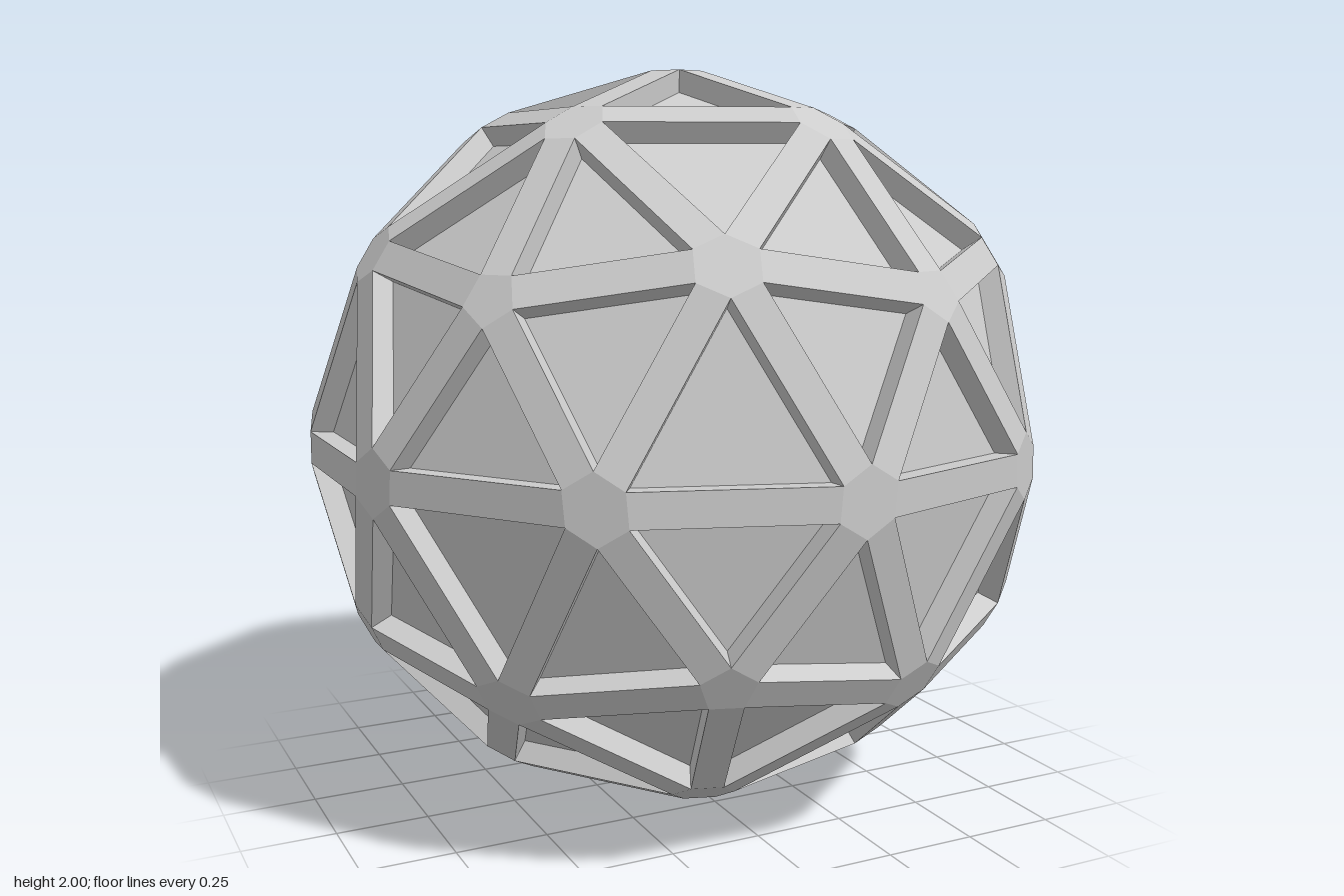
import * as THREE from 'three';

const HALF_WIDTH = 0.0425; // half the width of a strut
const RECESS = 0.94;       // how far panels sink toward the centre

// Icosahedron standing on a vertex, each face split into four, on a unit sphere
function geodesic() {
  const points = [], lookup = new Map(), faces = [];
  const add = (v) => {
    const key = v.toArray().map((n) => Math.round(n * 1000)).join();
    if (!lookup.has(key)) {
      lookup.set(key, points.length);
      points.push(v);
    }
    return lookup.get(key);
  };
  const ring = (deg, y) => {
    const a = THREE.MathUtils.degToRad(deg), r = 2 / Math.sqrt(5);
    return new THREE.Vector3(r * Math.cos(a), y, -r * Math.sin(a));
  };
  const mid = (a, b) => a.clone().add(b).normalize();
  const split = (a, b, c) => {
    const ab = mid(a, b), bc = mid(b, c), ca = mid(c, a);
    for (const f of [[a, ab, ca], [ab, b, bc], [ca, bc, c], [ab, bc, ca]]) faces.push(f.map(add));
  };
  const top = new THREE.Vector3(0, 1, 0), bottom = new THREE.Vector3(0, -1, 0);
  const h = 1 / Math.sqrt(5);
  for (let k = 0; k < 5; k++) {
    const u0 = ring(72 * k, h), u1 = ring(72 * k + 72, h);
    const l0 = ring(72 * k + 36, -h), l1 = ring(72 * k + 108, -h);
    split(top, u0, u1);
    split(u0, l0, u1);
    split(u1, l0, l1);
    split(bottom, l1, l0);
  }
  return { points, faces };
}

// Opening corner at v: where the borders of the two struts meet on the hub plane
function corner(v, p, q) {
  const tangent = (t) => t.clone().addScaledVector(v, -t.dot(v)).normalize();
  const d1 = tangent(p), d2 = tangent(q);
  return d1.clone().add(d2).multiplyScalar(HALF_WIDTH / Math.sin(d1.angleTo(d2))).add(v);
}

export function createModel() {
  const { points, faces } = geodesic();
  const parts = { hubs: [], struts: [], openingWalls: [], panels: [] };
  const tri = (part, ...vs) => vs.forEach((v) => parts[part].push(v.x, v.y, v.z));
  const quad = (part, a, b, c, d) => {
    tri(part, a, b, c);
    tri(part, a, c, d);
  };

  // Sunken panels with the walls around them
  const halfEdges = new Map();
  for (const face of faces) {
    const v = face.map((i) => points[i]);
    const outer = v.map((p, i) => corner(p, v[(i + 1) % 3], v[(i + 2) % 3]));
    const inner = outer.map((p) => p.clone().multiplyScalar(RECESS));
    tri('panels', ...inner);
    for (let i = 0; i < 3; i++) {
      const j = (i + 1) % 3;
      quad('openingWalls', outer[i], outer[j], inner[j], inner[i]);
      halfEdges.set(`${face[i]},${face[j]}`, [face[i], face[j], outer[i], outer[j]]);
    }
  }

  // One strut per edge, one hub wedge per edge end
  for (const [i, j, f1, f2] of halfEdges.values()) {
    const [, , g2, g1] = halfEdges.get(`${j},${i}`);
    tri('hubs', points[i], g1, f1);
    if (i < j) quad('struts', g1, g2, f2, f1);
  }

  const material = new THREE.MeshStandardMaterial({ color: 0xcccccc, flatShading: true });
  const group = new THREE.Group();
  group.name = 'geodesicSphere';
  for (const [name, coords] of Object.entries(parts)) {
    const geometry = new THREE.BufferGeometry();
    geometry.setAttribute('position', new THREE.Float32BufferAttribute(coords, 3));
    geometry.translate(0, 1, 0);
    geometry.computeVertexNormals();
    const mesh = new THREE.Mesh(geometry, material);
    mesh.name = name;
    group.add(mesh);
  }
  return group;
}
